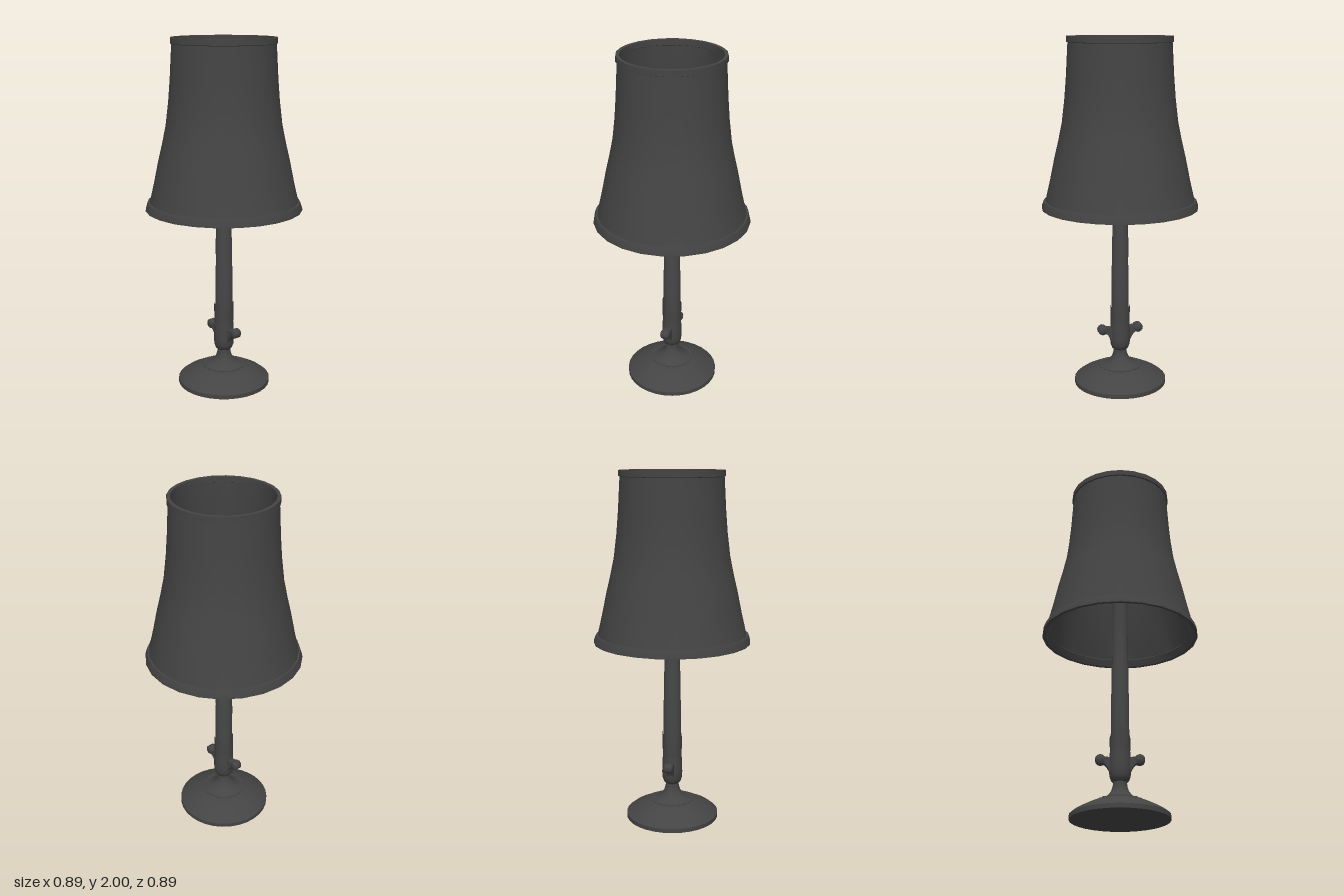
import * as THREE from 'three';
import { toCreasedNormals } from 'three/addons/utils/BufferGeometryUtils.js';

const material = new THREE.MeshStandardMaterial({ color: 0x444444, side: THREE.DoubleSide });

function add(parent, name, geometry, crease = 0.6) {
  const mesh = new THREE.Mesh(crease ? toCreasedNormals(geometry, crease) : geometry, material);
  mesh.name = name;
  parent.add(mesh);
  return mesh;
}

const lathe = (points, sides = 24) =>
  new THREE.LatheGeometry(points.map(([r, y]) => new THREE.Vector2(r, y)), sides);

// Ring of petals: a thin sleeve whose upper edge follows a height rule
function petalSleeve(radius, bottom, topAt) {
  const geo = new THREE.CylinderGeometry(radius, radius - 0.003, 1, 96, 1, true);
  const pos = geo.attributes.position;
  for (let i = 0; i < pos.count; i++) {
    const a = Math.atan2(pos.getX(i), pos.getZ(i));
    pos.setY(i, pos.getY(i) > 0 ? topAt(a) : bottom);
  }
  return geo;
}

export function createModel() {
  const lamp = new THREE.Group();
  lamp.name = 'tableLamp';

  // Foot: flared disc rising into a narrow neck
  add(lamp, 'foot', lathe([
    [0, 0], [0.267, 0], [0.267, 0.024], [0.24, 0.045], [0.2, 0.066], [0.16, 0.086], [0.12, 0.1],
    [0.09, 0.112], [0.065, 0.13], [0.048, 0.153], [0.039, 0.18], [0.037, 0.205], [0, 0.205],
  ], 32));

  // Scalloped collar lying on the foot
  const collar = new THREE.Shape();
  const lobes = 20, steps = lobes * 6;
  for (let i = 0; i < steps; i++) {
    const a = (i / steps) * Math.PI * 2;
    const r = 0.117 + 0.007 * Math.abs(Math.sin((a * lobes) / 2));
    collar[i ? 'lineTo' : 'moveTo'](r * Math.cos(a), r * Math.sin(a));
  }
  const collarGeo = new THREE.ExtrudeGeometry(collar, { depth: 0.01, bevelEnabled: false });
  collarGeo.rotateX(-Math.PI / 2).translate(0, 0.094, 0);
  add(lamp, 'scallopedCollar', collarGeo);

  // Cup holding the stem
  add(lamp, 'cup', lathe([
    [0, 0.2], [0.036, 0.2], [0.048, 0.21], [0.056, 0.232], [0.059, 0.265], [0.058, 0.31],
    [0.055, 0.37], [0.048, 0.375],
  ]));

  // Leaf petals: tall at front and back, shorter at the sides
  add(lamp, 'petals', petalSleeve(0.057, 0.34, (a) => {
    const tall = Math.pow(Math.abs(Math.cos(a)), 1.5);
    const side = Math.pow(Math.abs(Math.sin(a)), 6);
    return 0.37 + 0.13 * tall + 0.085 * side + 0.012 * Math.cos(a * 12);
  }));

  // Curled side scrolls
  for (const side of [1, -1]) {
    const scroll = new THREE.Group();
    scroll.name = side > 0 ? 'leftScroll' : 'rightScroll';
    scroll.rotation.y = side > 0 ? 0 : Math.PI;
    const arm = new THREE.Shape();
    arm.moveTo(0.045, 0.225);
    arm.quadraticCurveTo(0.064, 0.29, 0.088, 0.303);
    arm.lineTo(0.11, 0.3);
    arm.lineTo(0.105, 0.33);
    arm.quadraticCurveTo(0.075, 0.345, 0.045, 0.33);
    const armGeo = new THREE.ExtrudeGeometry(arm, { depth: 0.042, bevelEnabled: false, curveSegments: 8 });
    add(scroll, 'arm', armGeo.translate(0, 0, -0.021));
    const curl = lathe([[0, -0.025], [0.02, -0.025], [0.028, -0.017], [0.028, 0.017], [0.02, 0.025], [0, 0.025]], 16);
    add(scroll, 'curl', curl.rotateX(Math.PI / 2).translate(0.106, 0.325, 0), 0.9);
    lamp.add(scroll);
  }

  // Candle-like stem
  add(lamp, 'stem', lathe([
    [0, 0.3], [0.05, 0.3], [0.05, 0.7], [0.047, 0.71], [0.047, 0.87], [0.044, 0.88], [0.044, 1.28], [0, 1.28],
  ]));

  // Bulb inside the shade
  add(lamp, 'bulb', lathe([
    [0.03, 1.27], [0.038, 1.31], [0.065, 1.36], [0.086, 1.41], [0.09, 1.45], [0.083, 1.49],
    [0.06, 1.52], [0.03, 1.537], [0, 1.542],
  ], 12), 0);

  // Bell shade with raised bands at both rims, hollow and open
  add(lamp, 'shade', lathe([
    [0.425, 1.05], [0.443, 1.05], [0.441, 1.065], [0.43, 1.095], [0.42, 1.095],
    [0.393, 1.21], [0.368, 1.33], [0.344, 1.43], [0.323, 1.53], [0.307, 1.66], [0.297, 1.78],
    [0.286, 1.965], [0.293, 1.968], [0.292, 2], [0.273, 2], [0.272, 1.968], [0.278, 1.965],
    [0.289, 1.78], [0.315, 1.53], [0.36, 1.33], [0.412, 1.095], [0.408, 1.09], [0.425, 1.05],
  ]));

  return lamp;
}
